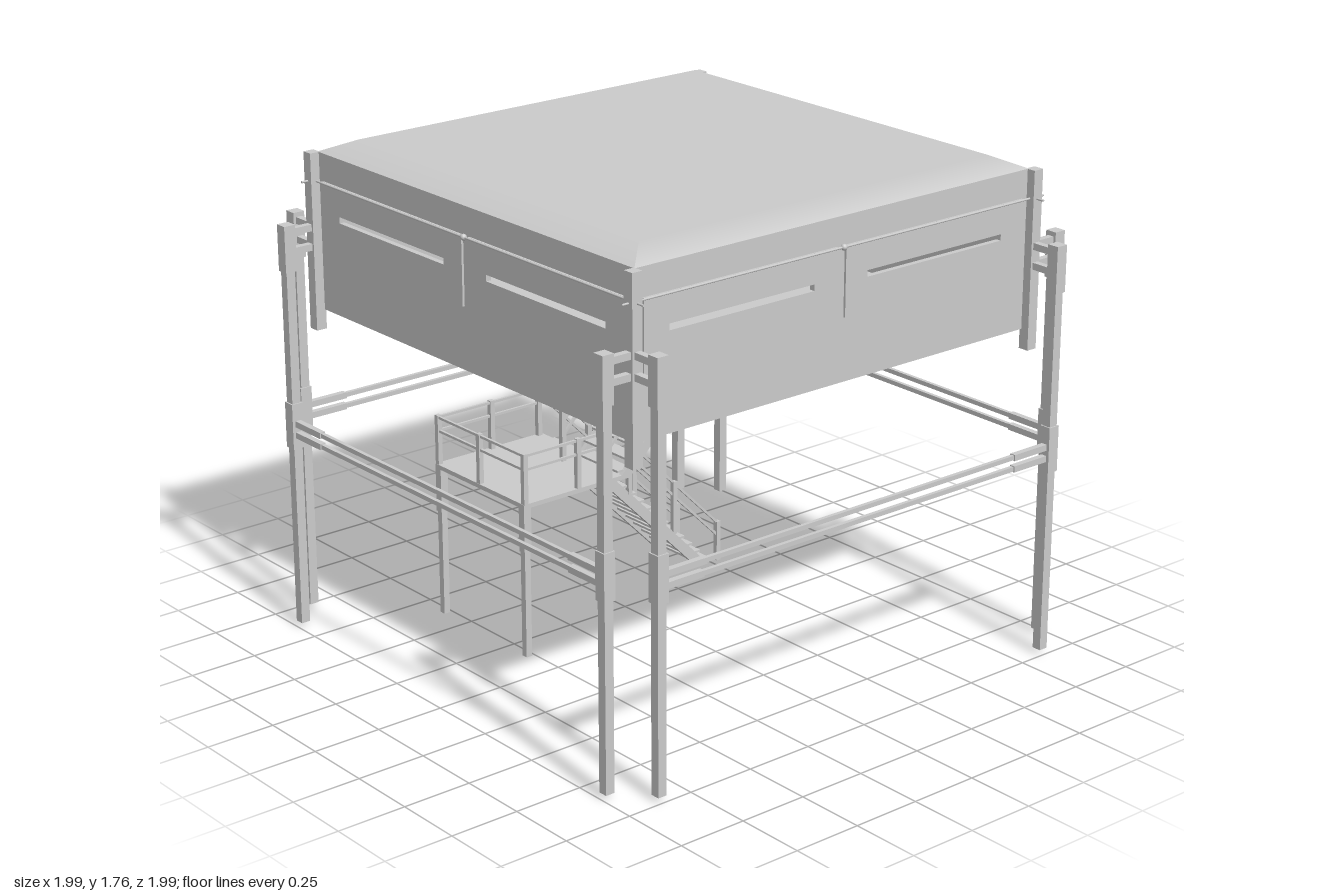
import * as THREE from 'three';

const mat = new THREE.MeshStandardMaterial({ color: 0xcccccc, flatShading: true });
const smooth = new THREE.MeshStandardMaterial({ color: 0xcccccc });
const UP = new THREE.Vector3(0, 1, 0);

function add(parent, name, geo, x = 0, y = 0, z = 0, material = mat) {
  const m = new THREE.Mesh(geo, material);
  m.name = name;
  m.position.set(x, y, z);
  parent.add(m);
  return m;
}
const box = (p, name, w, h, d, x, y, z) => add(p, name, new THREE.BoxGeometry(w, h, d), x, y, z);
// Upright square bar between two heights
const post = (p, name, x, z, y0, y1, s) => box(p, name, s, y1 - y0, s, x, (y0 + y1) / 2, z);

// Square bar between two points
function bar(p, name, a, b, s) {
  const va = new THREE.Vector3(...a), vb = new THREE.Vector3(...b);
  const dir = vb.clone().sub(va);
  const mid = va.clone().add(vb).multiplyScalar(0.5);
  const m = add(p, name, new THREE.BoxGeometry(s, dir.length(), s), mid.x, mid.y, mid.z);
  m.quaternion.setFromUnitVectors(UP, dir.normalize());
  return m;
}

function rect(T, x0, x1, y0, y1) {
  const s = new T();
  s.moveTo(x0, y0);
  s.lineTo(x1, y0);
  s.lineTo(x1, y1);
  s.lineTo(x0, y1);
  s.closePath();
  return s;
}

function extrude(shape, depth) {
  return new THREE.ExtrudeGeometry(shape, { depth, bevelEnabled: false });
}

// One cabin wall facing +z, with slotted shutters and a hinge rod
function cabinWall() {
  const g = new THREE.Group();
  const slots = [[-0.715, -0.12], [0.11, 0.715]];
  const wall = rect(THREE.Shape, -0.845, 0.845, 1.16, 1.72);
  slots.forEach(([a, b]) => wall.holes.push(rect(THREE.Path, a, b, 1.498, 1.52)));
  add(g, 'wallPanel', extrude(wall, 0.012), 0, 0, 0.833);
  [[-0.815, -0.02], [0.015, 0.815]].forEach(([x0, x1], i) => {
    const s = rect(THREE.Shape, x0, x1, 1.38, 1.622);
    s.holes.push(rect(THREE.Path, slots[i][0], slots[i][1], 1.498, 1.52));
    add(g, 'shutter', extrude(s, 0.008), 0, 0, 0.845);
  });
  const rod = add(g, 'hingeRod', new THREE.CylinderGeometry(0.004, 0.004, 1.81, 8), 0, 1.62, 0.858, smooth);
  rod.rotation.z = Math.PI / 2;
  add(g, 'hingeKnob', new THREE.SphereGeometry(0.011, 12, 8), 0, 1.62, 0.858, smooth);
  return g;
}

// Roof slope blending softly into the flat top
function roofGeometry(half, top, h) {
  const r = Math.SQRT2;
  const geo = new THREE.CylinderGeometry(top * r, half * r, h, 4, 1, true).rotateY(Math.PI / 4).toNonIndexed();
  geo.computeVertexNormals();
  const pos = geo.attributes.position, nor = geo.attributes.normal;
  for (let i = 0; i < pos.count; i++) if (pos.getY(i) > 0) nor.setXYZ(i, 0, 1, 0);
  return geo;
}

function cabin() {
  const g = new THREE.Group();
  g.name = 'cabin';
  for (let i = 0; i < 4; i++) {
    const w = cabinWall();
    w.name = 'cabinWall';
    w.rotation.y = i * Math.PI / 2;
    g.add(w);
  }
  box(g, 'floor', 1.68, 0.02, 1.68, 0, 1.171, 0);
  add(g, 'roofSlope', roofGeometry(0.845, 0.745, 0.045), 0, 1.7425, 0, smooth);
  box(g, 'roofTop', 1.49, 0.01, 1.49, 0, 1.76, 0);
  return g;
}

// Paired legs, sleeves and brackets at one corner
function corner(sx, sz) {
  const g = new THREE.Group();
  g.name = 'cornerSupport';
  const cx = sx * 0.86, cz = sz * 0.857;
  post(g, 'cabinPost', cx, cz, 1.09, 1.72, 0.04);
  [[cx, sz * 0.975], [sx * 0.975, cz]].forEach(([x, z]) => {
    post(g, 'leg', x, z, 0.02, 1.48, 0.034);
    post(g, 'upperSleeve', x, z, 1.32, 1.485, 0.044);
    post(g, 'middleSleeve', x, z, 0.68, 0.845, 0.044);
    [1.457, 1.388].forEach(y => bar(g, 'bracket', [x, y, z], [cx, y, cz], 0.024));
  });
  return g;
}

// Double brace along one side, with thicker ends
function brace(angle) {
  const g = new THREE.Group();
  g.name = 'sideBrace';
  [0.772, 0.731].forEach(y => {
    box(g, 'braceRail', 1.68, 0.016, 0.014, 0, y, 0.975);
    [-1, 1].forEach(s => box(g, 'braceEnd', 0.16, 0.022, 0.022, s * 0.765, y, 0.975));
  });
  g.rotation.y = angle;
  return g;
}

// Flight of stairs: d = 1 climbs toward +x, d = -1 descends toward +x
function flight(name, d, y0, z0, z1, posts, railX) {
  const g = new THREE.Group();
  g.name = name;
  const yEnd = y0 + d * 0.575, steps = 15;
  const s = new THREE.Shape();
  s.moveTo(-0.138, y0);
  s.lineTo(-0.085, y0);
  s.lineTo(0.485, yEnd);
  s.lineTo(0.432, yEnd);
  s.closePath();
  // Height of the stringer's upper edge at x
  const edge = x => y0 + d * (x + (d > 0 ? 0.138 : 0.085)) * 1.009;
  [z0, z1].forEach(z => {
    add(g, 'stringer', extrude(s, 0.016), 0, 0, z - 0.008);
    posts.forEach(([x, base, top]) => post(g, 'railPost', x, z, base ?? edge(x), top, 0.018));
    const [a, b] = railX;
    [0, 0.05].forEach(drop => {
      const y = x => posts[0][2] - 0.008 - drop + d * (x - posts[0][0]);
      bar(g, 'handrail', [a, y(a), z], [b, y(b), z], 0.009);
    });
  });
  for (let i = 0; i < steps; i++) {
    const t = (i + 0.5) / steps;
    const x = -0.112 + 0.57 * t - d * 0.022;
    box(g, 'tread', 0.06, 0.008, Math.abs(z1 - z0), x, y0 + d * 0.575 * t, (z0 + z1) / 2);
  }
  return g;
}

function landing() {
  const g = new THREE.Group();
  g.name = 'landing';
  box(g, 'landingDeck', 0.47, 0.016, 0.51, -0.325, 0.58, -0.355);
  [-0.115, -0.595].forEach(z => {
    post(g, 'landingLeg', -0.545, z, 0.02, 0.575, 0.024);
    post(g, 'landingLegSleeve', -0.545, z, 0.41, 0.575, 0.03);
  });
  [[-0.55, -0.6], [-0.32, -0.6], [-0.11, -0.6], [-0.55, -0.36], [-0.55, -0.108], [-0.32, -0.108], [-0.2, -0.108]]
    .forEach(([x, z]) => post(g, 'landingRailPost', x, z, 0.585, 0.77, 0.018));
  [0.762, 0.712].forEach(y => {
    bar(g, 'landingRail', [-0.55, y, -0.6], [-0.08, y, -0.6], 0.009);
    bar(g, 'landingRail', [-0.55, y, -0.6], [-0.55, y, -0.108], 0.009);
    bar(g, 'landingRail', [-0.55, y, -0.108], [-0.2, y, -0.108], 0.009);
  });
  return g;
}

export function createModel() {
  const model = new THREE.Group();
  model.name = 'elevatedCabin';
  model.add(cabin());
  [-1, 1].forEach(sx => [-1, 1].forEach(sz => model.add(corner(sx, sz))));
  for (let i = 0; i < 4; i++) model.add(brace(i * Math.PI / 2));
  model.add(flight('upperStairs', 1, 0.582, -0.108, -0.345,
    [[0.01, null, 0.95], [-0.2, 0.585, 0.79], [0.22, null, 1.155]], [-0.2, 0.22]));
  model.add(flight('lowerStairs', -1, 0.578, -0.365, -0.598,
    [[0.325, null, 0.37], [0.115, null, 0.575], [0.535, 0.003, 0.158]], [-0.07, 0.535]));
  model.add(landing());
  return model;
}
